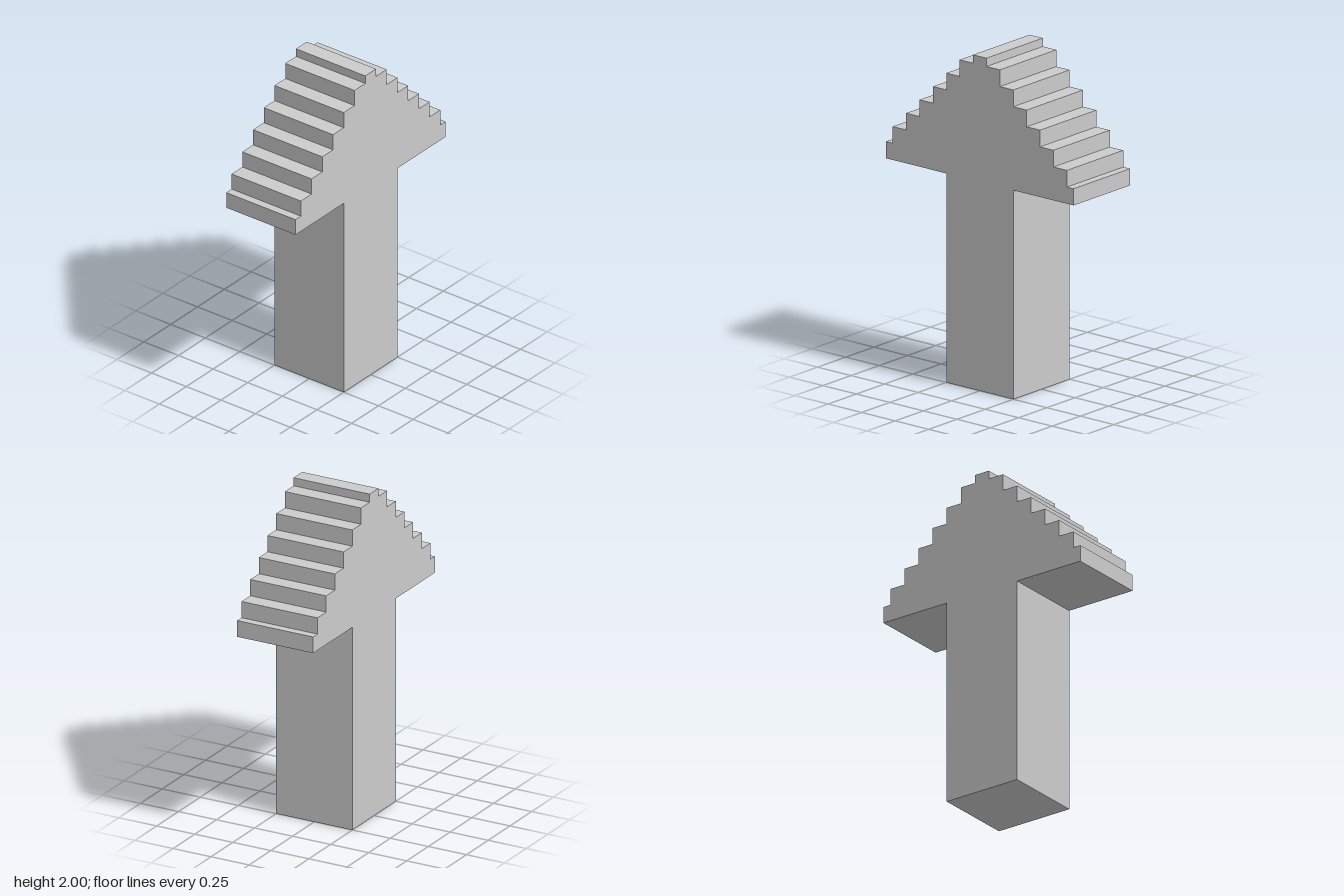
import * as THREE from 'three';

export function createModel() {
  const group = new THREE.Group();
  const depth = 0.5, shaft = 0.25, headBase = 1.25, step = 0.1;

  // Right half of the outline, from the foot up to the tip
  const half = [[shaft, 0], [shaft, headBase], [0.7, headBase], [0.7, headBase + step]];
  for (let i = 0; i < 7; i++) {
    const x = 0.65 - i * step;
    const y = headBase + (i + 1) * step;
    half.push([x, y], [x, Math.min(y + step, 2)]);
  }

  // Mirror the half to close the stepped arrow
  const mirrored = half.map(([x, y]) => [-x, y]).reverse();
  const outline = new THREE.Shape([...half, ...mirrored].map(([x, y]) => new THREE.Vector2(x, y)));

  const geometry = new THREE.ExtrudeGeometry(outline, { depth, bevelEnabled: false });
  geometry.translate(0, 0, -depth / 2);

  const arrow = new THREE.Mesh(
    geometry,
    new THREE.MeshStandardMaterial({ color: 0xcccccc, flatShading: true })
  );
  arrow.name = 'steppedArrow';
  group.add(arrow);
  return group;
}
